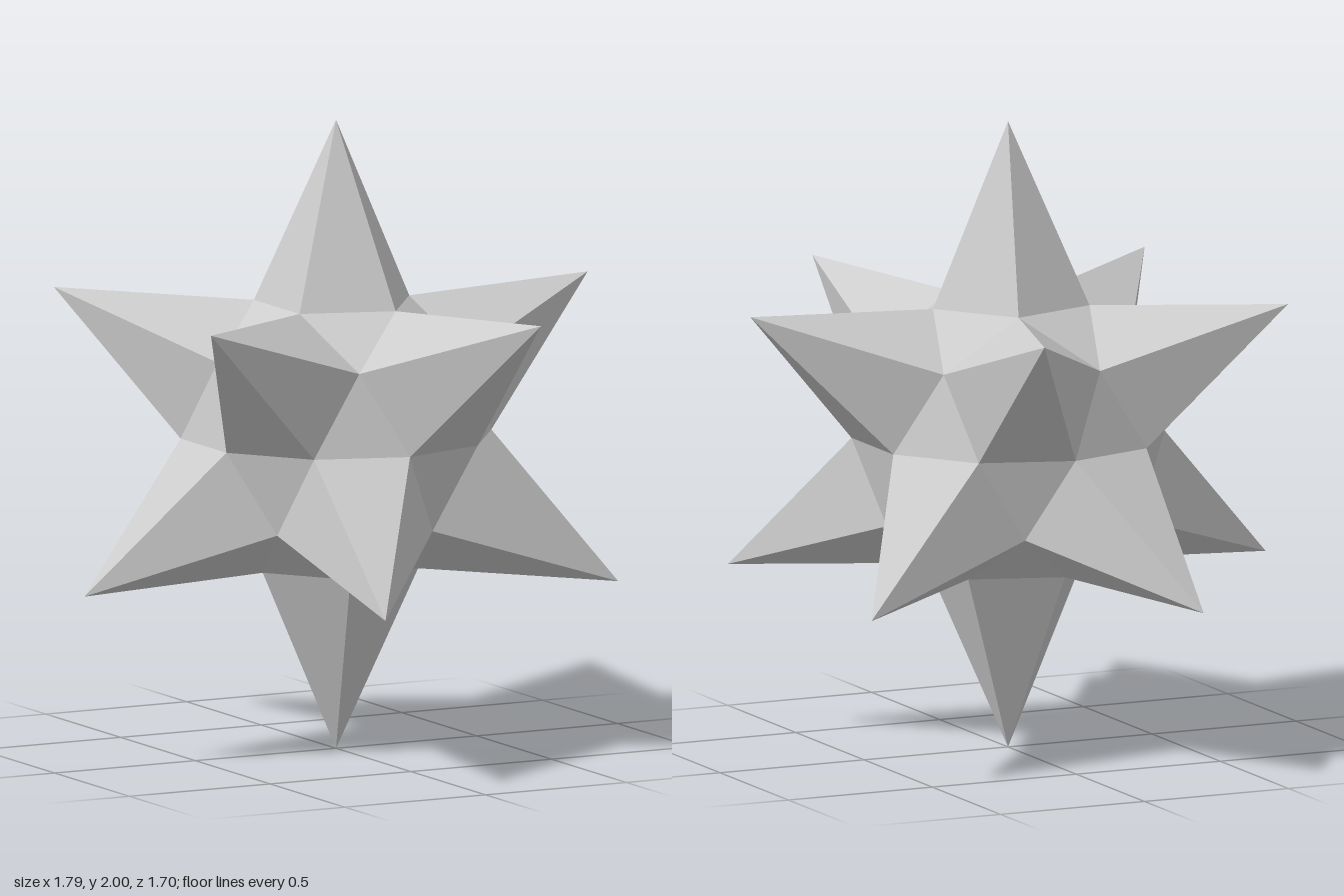
import * as THREE from 'three';

const TIP_RADIUS = 1; // centre to spike tip
const CORE_RADIUS = 0.495; // centre to the corners where spikes meet

// Twelve tip directions: two poles and two staggered rings of five
function tipDirections() {
  const tips = [new THREE.Vector3(0, 1, 0), new THREE.Vector3(0, -1, 0)];
  const y = 1 / Math.sqrt(5), r = 2 / Math.sqrt(5);
  for (let i = 0; i < 5; i++) {
    const a = (i * 2 * Math.PI) / 5;
    const tip = new THREE.Vector3(r * Math.cos(a), y, r * Math.sin(a));
    tips.push(tip, tip.clone().negate());
  }
  return tips;
}

// Adds a triangle, turned so that it faces away from the centre
function addOutward(list, a, b, c) {
  const normal = b.clone().sub(a).cross(c.clone().sub(a));
  const corners = normal.dot(a) > 0 ? [a, b, c] : [a, c, b];
  list.push(...corners);
}

function facetedMesh(points, name, material) {
  const geometry = new THREE.BufferGeometry().setFromPoints(points);
  geometry.computeVertexNormals();
  const mesh = new THREE.Mesh(geometry, material);
  mesh.name = name;
  return mesh;
}

export function createModel() {
  const group = new THREE.Group();
  group.name = 'spikedStar';
  const material = new THREE.MeshStandardMaterial({ color: 0xcccccc, flatShading: true });

  const tips = tipDirections();
  const spikes = tips.map(() => []);
  const core = [];
  const adjacent = (i, j) => tips[i].dot(tips[j]) > 0.4;
  const corner = (i, j) => tips[i].clone().add(tips[j]).setLength(CORE_RADIUS);

  // Each trio of neighbouring tips gives one core triangle and one side of three spikes
  for (let i = 0; i < 12; i++)
    for (let j = i + 1; j < 12; j++)
      for (let k = j + 1; k < 12; k++) {
        if (!adjacent(i, j) || !adjacent(j, k) || !adjacent(i, k)) continue;
        addOutward(core, corner(i, j), corner(j, k), corner(i, k));
        for (const [t, a, b] of [[i, j, k], [j, i, k], [k, i, j]]) {
          const tip = tips[t].clone().multiplyScalar(TIP_RADIUS);
          addOutward(spikes[t], tip, corner(t, a), corner(t, b));
        }
      }

  // Flat triangles between the spikes
  group.add(facetedMesh(core, 'core', material));
  // Twelve five-sided spikes
  spikes.forEach((points, i) => group.add(facetedMesh(points, `spike${i + 1}`, material)));

  // Stand the lowest tip on the ground
  group.children.forEach((mesh) => mesh.geometry.translate(0, TIP_RADIUS, 0));
  return group;
}
